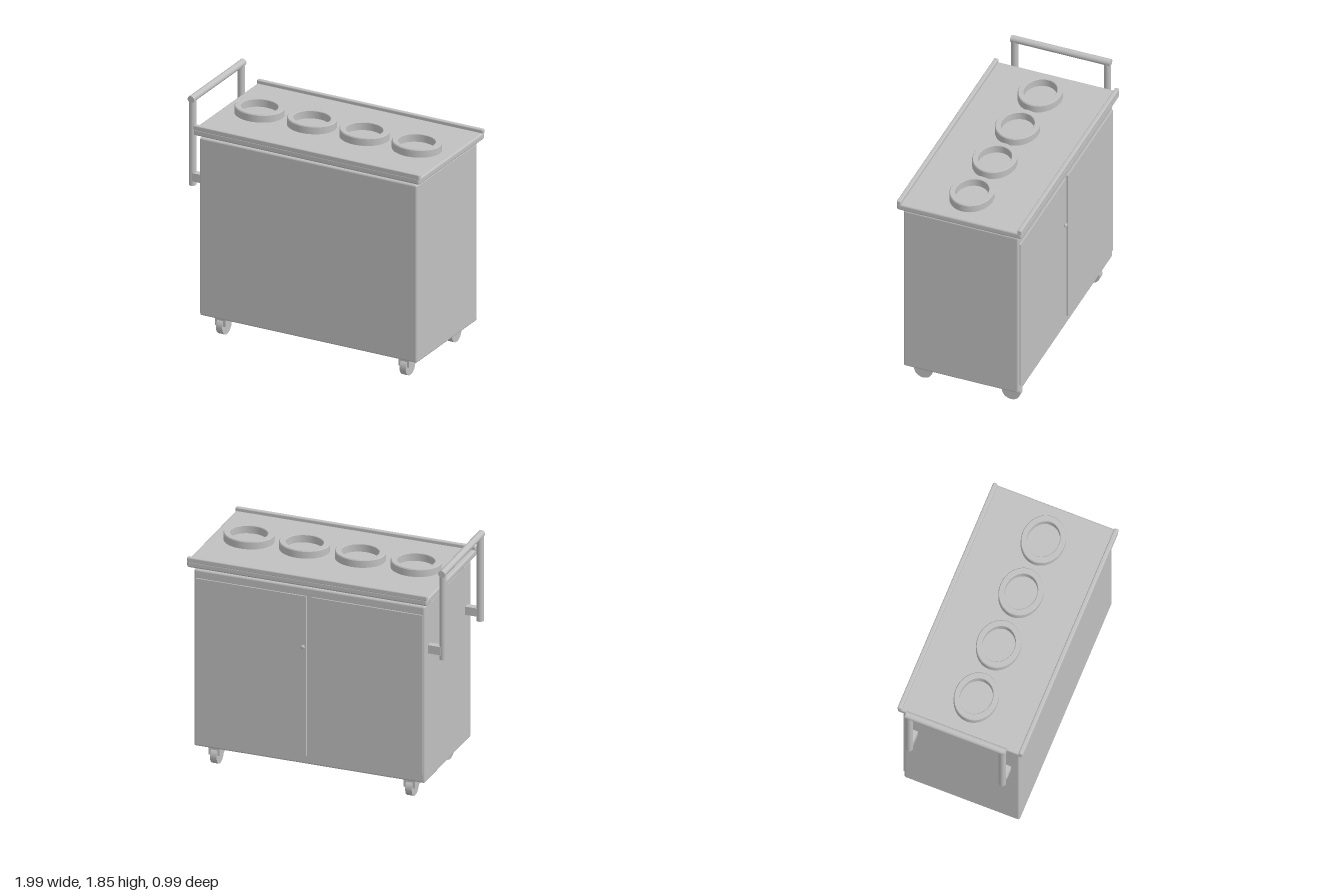
import * as THREE from 'three';
import { toCreasedNormals } from 'three/addons/utils/BufferGeometryUtils.js';
import { RoundedBoxGeometry } from 'three/addons/geometries/RoundedBoxGeometry.js';

export function createModel() {
  const model = new THREE.Group();
  model.name = 'servingCart';
  const grey = new THREE.MeshStandardMaterial({ color: 0xc0c0c0 });
  grey.name = 'light grey';

  const add = (name, geometry, x, y, z, parent = model) => {
    const mesh = new THREE.Mesh(geometry, grey);
    mesh.name = name;
    mesh.position.set(x, y, z);
    parent.add(mesh);
    return mesh;
  };
  // Box given by its limits on each axis, optionally with rounded edges
  const box = (name, [x0, x1], [y0, y1], [z0, z1], radius = 0, parent = model) => {
    const size = [x1 - x0, y1 - y0, z1 - z0];
    const geometry = radius
      ? new RoundedBoxGeometry(...size, 3, radius)
      : new THREE.BoxGeometry(...size);
    return add(name, geometry, (x0 + x1) / 2, (y0 + y1) / 2, (z0 + z1) / 2, parent);
  };

  // Cabinet and the worktop held just above it
  box('cabinet', [-0.863, 0.955], [0.155, 1.572], [-0.452, 0.457], 0.016);
  box('worktop', [-0.895, 0.995], [1.595, 1.648], [-0.492, 0.494], 0.015);
  box('frontRail', [-0.895, 0.995], [1.636, 1.676], [0.461, 0.494], 0.009);
  box('backRail', [-0.895, 0.995], [1.636, 1.676], [-0.492, -0.459], 0.009);

  // Back doors and knob
  box('leftDoor', [0.066, 0.936], [0.226, 1.504], [-0.462, -0.45]);
  box('rightDoor', [-0.844, 0.026], [0.226, 1.504], [-0.462, -0.45]);
  const stem = add('knobStem', new THREE.CylinderGeometry(0.009, 0.009, 0.016, 16), 0.09, 1.1, -0.466);
  stem.rotation.x = Math.PI / 2;
  const knob = add('knob', new THREE.SphereGeometry(0.017, 20, 12), 0.09, 1.1, -0.473);
  knob.scale.z = 0.6;

  // Four oval rings with open wells
  const profile = [[0.19, 0], [0.19, 0.054], [0.184, 0.062], [0.145, 0.062], [0.141, 0.058], [0.141, 0]]
    .map(([r, y]) => new THREE.Vector2(r, y));
  const ringGeometry = toCreasedNormals(new THREE.LatheGeometry(profile, 48), 0.5);
  for (let i = 0; i < 4; i++) {
    const ring = add('wellRing', ringGeometry, -0.607 + i * 0.4385, 1.648, 0.015);
    ring.scale.z = 0.85;
  }

  // Push handle
  const handle = new THREE.Group();
  handle.name = 'pushHandle';
  model.add(handle);
  const bar = add('handleBar', new THREE.CylinderGeometry(0.027, 0.027, 0.786, 24), -0.971, 1.826, 0, handle);
  bar.rotation.x = Math.PI / 2;
  for (const side of [-1, 1]) {
    add('handlePost', new THREE.CylinderGeometry(0.027, 0.027, 0.686, 24), -0.971, 1.482, side * 0.366, handle);
    const z = side * 0.367;
    box('handleBracket', [-0.96, -0.86], [1.176, 1.242], [z - 0.025, z + 0.025], 0, handle);
  }

  // Casters: a fork open at front and back, with a wheel in its slot
  const wheelGeometry = new THREE.CylinderGeometry(0.072, 0.072, 0.052, 32).rotateZ(Math.PI / 2);
  for (const x of [-0.72, 0.815]) {
    for (const z of [-0.346, 0.347]) {
      const caster = new THREE.Group();
      caster.name = 'caster';
      caster.position.set(x, 0, z);
      model.add(caster);
      box('forkTop', [-0.044, 0.044], [0.123, 0.158], [-0.056, 0.056], 0, caster);
      for (const s of [-1, 1]) {
        const cheek = box('forkCheek', [-0.009, 0.009], [0.08, 0.124], [-0.056, 0.056], 0, caster);
        cheek.position.x = s * 0.035;
      }
      add('wheel', wheelGeometry, 0, 0.072, 0, caster);
    }
  }
  return model;
}
